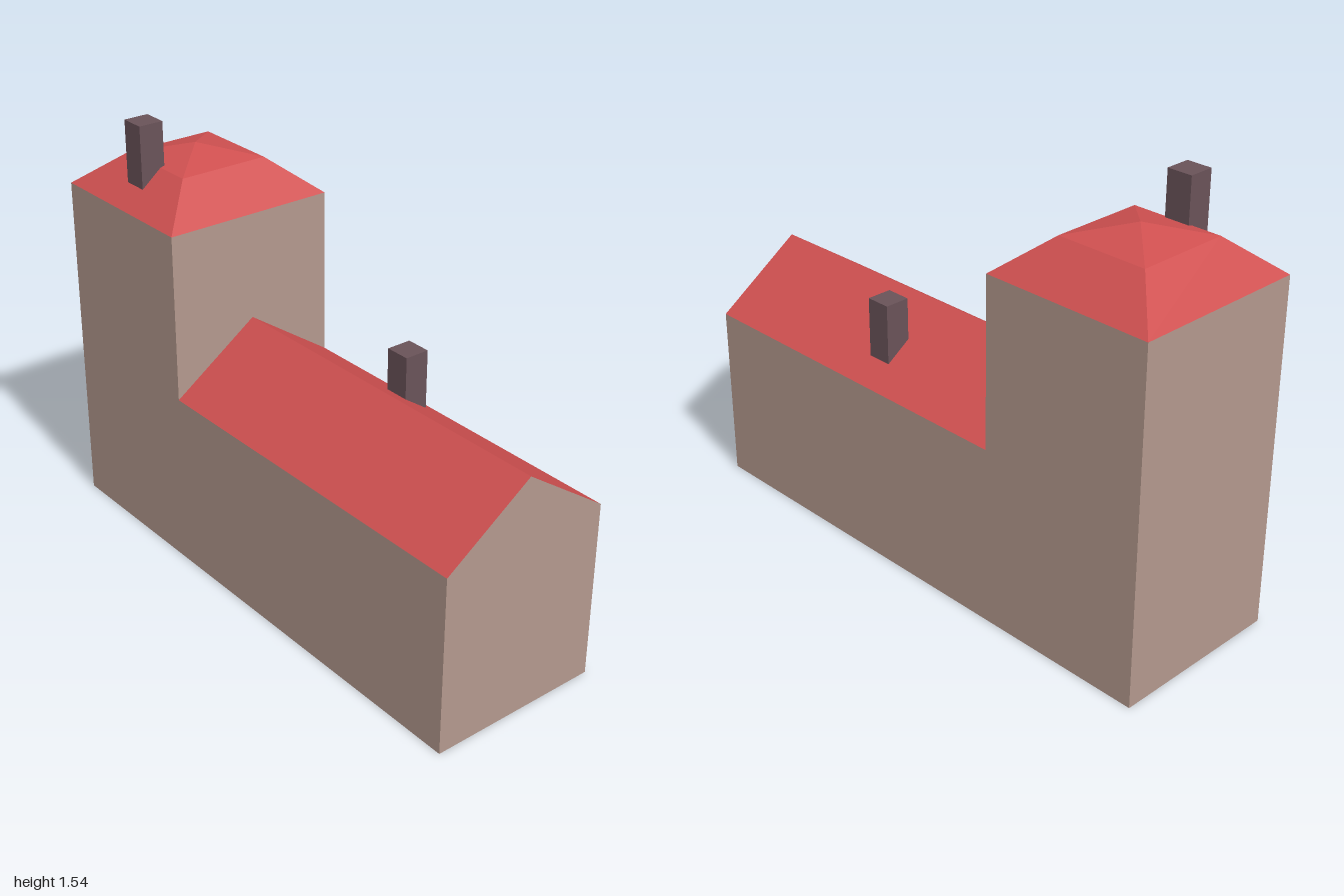
import * as THREE from 'three';

const mat = (name, color) => {
  const m = new THREE.MeshStandardMaterial({ color });
  m.name = name;
  return m;
};

// Flat polygons, corners counter-clockwise from outside, as one faceted geometry
function facets(polygons) {
  const pos = [];
  for (const p of polygons)
    for (let i = 1; i < p.length - 1; i++) pos.push(...p[0], ...p[i], ...p[i + 1]);
  const g = new THREE.BufferGeometry();
  g.setAttribute('position', new THREE.Float32BufferAttribute(pos, 3));
  g.computeVertexNormals();
  return g;
}

// Rectangle of corners at height y, counter-clockwise seen from above
const ring = (x0, x1, z, y) => [[x0, y, z], [x1, y, z], [x1, y, -z], [x0, y, -z]];

// Side faces joining a lower ring to an upper ring
const band = (a, b) => a.map((p, i) => {
  const j = (i + 1) % a.length;
  return [p, a[j], b[j], b[i]];
});

export function createModel() {
  const group = new THREE.Group();
  const wall = mat('wall', 0xb4998e);
  const roof = mat('roof', 0xcf5050);
  const brick = mat('chimney', 0x6a5359);
  const ground = mat('underside', 0x36784b);
  const add = (name, geometry, material) => {
    const m = new THREE.Mesh(geometry, material);
    m.name = name;
    group.add(m);
    return m;
  };

  const D = 0.322, X0 = -1, XM = -0.367, X1 = 1;
  const towerTop = 1.258, eaves = 0.65, ridge = 0.872;

  // Tower walls and two-pitch hipped roof
  const eaveRing = ring(X0, XM, D, towerTop);
  const capRing = ring(-0.85, -0.515, 0.17, 1.382);
  const apex = [(X0 + XM) / 2, 1.427, 0];
  add('towerWalls', facets(band(ring(X0, XM, D, 0), eaveRing)), wall);
  add('towerRoof', facets(band(eaveRing, capRing)), roof);
  add('towerRoofCap', facets(capRing.map((p, i) => [p, capRing[(i + 1) % 4], apex])), roof);

  // Long wing: side walls, gable end and pitched roof
  add('wingWalls', facets([
    [[XM, 0, D], [X1, 0, D], [X1, eaves, D], [XM, eaves, D]],
    [[X1, 0, -D], [XM, 0, -D], [XM, eaves, -D], [X1, eaves, -D]],
    [[X1, 0, D], [X1, 0, -D], [X1, eaves, -D], [X1, ridge, 0], [X1, eaves, D]],
  ]), wall);
  add('wingRoof', facets([
    [[XM, eaves, D], [X1, eaves, D], [X1, ridge, 0], [XM, ridge, 0]],
    [[X1, eaves, -D], [XM, eaves, -D], [XM, ridge, 0], [X1, ridge, 0]],
  ]), roof);

  // Underside of the whole footprint
  add('underside', facets([ring(X0, X1, D, 0).reverse()]), ground);

  // Chimneys, sunk into the roof slopes
  const chimney = (name, x, z, bottom, top) =>
    add(name, new THREE.BoxGeometry(0.092, top - bottom, 0.092), brick)
      .position.set(x, (top + bottom) / 2, z);
  chimney('towerChimney', -0.695, 0.2, 1.2, 1.545);
  chimney('wingChimney', 0.24, -0.187, 0.6, 0.927);

  return group;
}
